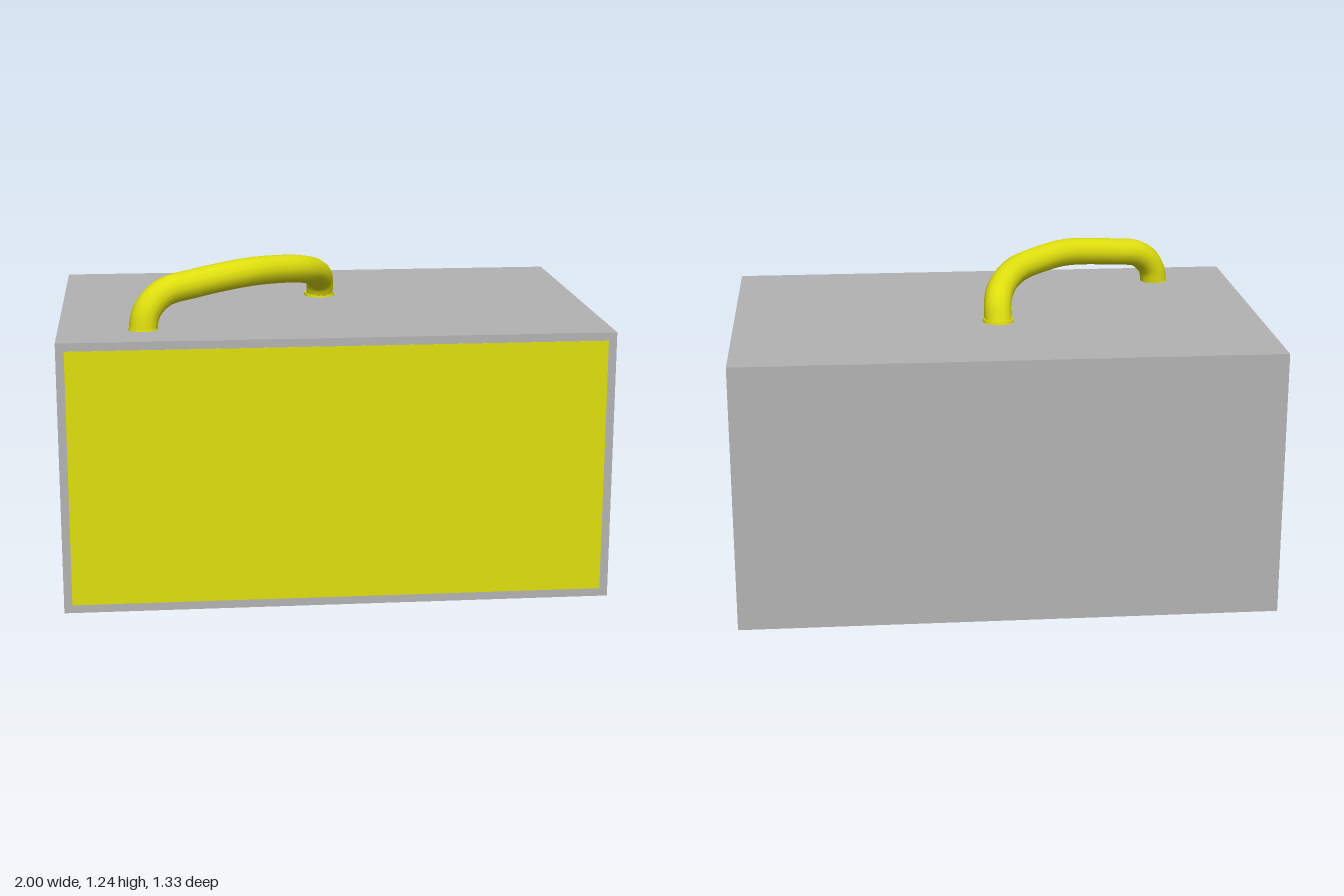
import * as THREE from 'three';

const gray = new THREE.MeshStandardMaterial({ color: 0xb3b3b3 });
gray.name = 'gray casing';
const yellow = new THREE.MeshStandardMaterial({ color: 0xdede0e });
yellow.name = 'yellow trim';

const BASE = 0.03; // underside of the case

function add(parent, name, geometry, material, x = 0, y = 0, z = 0) {
  const mesh = new THREE.Mesh(geometry, material);
  mesh.name = name;
  mesh.position.set(x, y, z);
  parent.add(mesh);
  return mesh;
}

function roundedRect(target, w, h, r) {
  const x = w / 2, y = h / 2;
  target.moveTo(-x + r, -y);
  target.lineTo(x - r, -y).absarc(x - r, -y + r, r, -Math.PI / 2, 0);
  target.lineTo(x, y - r).absarc(x - r, y - r, r, 0, Math.PI / 2);
  target.lineTo(-x + r, y).absarc(-x + r, y - r, r, Math.PI / 2, Math.PI);
  target.lineTo(-x, -y + r).absarc(-x + r, -y + r, r, Math.PI, Math.PI * 1.5);
  return target;
}

// Flat rim hanging below the case, with a shallower plate inside it
function framedPlate(name, w, d, r, rim, depth, fill) {
  const group = new THREE.Group();
  group.name = name;
  const shape = roundedRect(new THREE.Shape(), w, d, r);
  shape.holes.push(roundedRect(new THREE.Path(), w - 2 * rim, d - 2 * rim, r * 0.7));
  const frame = new THREE.ExtrudeGeometry(shape, { depth, bevelEnabled: false, curveSegments: 6 });
  frame.rotateX(Math.PI / 2);
  add(group, 'rim', frame, yellow);
  const [from, to] = fill;
  const width = (to - from) * (w - rim);
  add(group, 'inset', new THREE.BoxGeometry(width, 0.006, d - rim), yellow,
    ((from + to) / 2 - 0.5) * (w - rim), -0.003, 0);
  return group;
}

// Small hatched mount: a crossing of thin bars
function hatchMount() {
  const group = new THREE.Group();
  group.name = 'hatchMount';
  for (const s of [-1, 1]) {
    add(group, 'longBar', new THREE.BoxGeometry(0.075, 0.014, 0.014), yellow, 0, -0.007, s * 0.013);
    add(group, 'crossBar', new THREE.BoxGeometry(0.012, 0.014, 0.08), yellow, s * 0.015, -0.007, 0);
  }
  return group;
}

export function createModel() {
  const model = new THREE.Group();
  model.name = 'case';

  // Case body and front panel
  add(model, 'body', new THREE.BoxGeometry(2, 1, 1.333), gray, 0, 0.53, 0);
  add(model, 'frontPanel', new THREE.BoxGeometry(1.94, 0.94, 0.004), yellow, 0, 0.53, 0.666);

  // Curved carrying handle
  const path = new THREE.CatmullRomCurve3([
    [-0.695, 1.01, 0.453], [-0.68, 1.09, 0.442], [-0.62, 1.152, 0.41], [-0.5, 1.177, 0.355],
    [-0.31, 1.198, 0.27], [-0.19, 1.192, 0.18], [-0.09, 1.175, 0.09], [-0.025, 1.14, -0.02],
    [0, 1.095, -0.105], [0, 1.02, -0.137],
  ].map((p) => new THREE.Vector3(...p)));
  add(model, 'handle', new THREE.TubeGeometry(path, 48, 0.053, 14, false), yellow);
  add(model, 'handleFootBack', new THREE.CylinderGeometry(0.058, 0.06, 0.012, 14), yellow, 0, 1.035, -0.134);
  add(model, 'handleFootFront', new THREE.CylinderGeometry(0.053, 0.055, 0.01, 14), yellow, -0.693, 1.033, 0.452);

  // Underside plates
  const plates = [
    ['largePlate', 0.43, 0.26, 0.05, 0.02, 0.016, [0, 1], -0.595, -0.252],
    ['smallPlateLeft', 0.18, 0.1, 0.015, 0.012, 0.014, [0, 0.5], 0.21, -0.205],
    ['smallPlateRight', 0.18, 0.1, 0.015, 0.012, 0.014, [0, 0.5], -0.485, -0.01],
  ];
  for (const [name, w, d, r, rim, depth, fill, x, z] of plates) {
    const plate = framedPlate(name, w, d, r, rim, depth, fill);
    plate.position.set(x, BASE, z);
    model.add(plate);
  }

  // Underside mounts, each with a round stud beside it
  const mounts = [
    [0.613, -0.38, 0.68, -0.38], [0.615, 0.06, 0.68, 0.055],
    [-0.86, -0.385, -0.885, -0.28], [-0.86, 0.055, -0.885, -0.035],
  ];
  for (const [x, z, studX, studZ] of mounts) {
    const mount = hatchMount();
    mount.position.set(x, BASE, z);
    model.add(mount);
    add(model, 'stud', new THREE.CylinderGeometry(0.018, 0.014, 0.024, 10), yellow, studX, BASE - 0.012, studZ);
  }
  return model;
}
